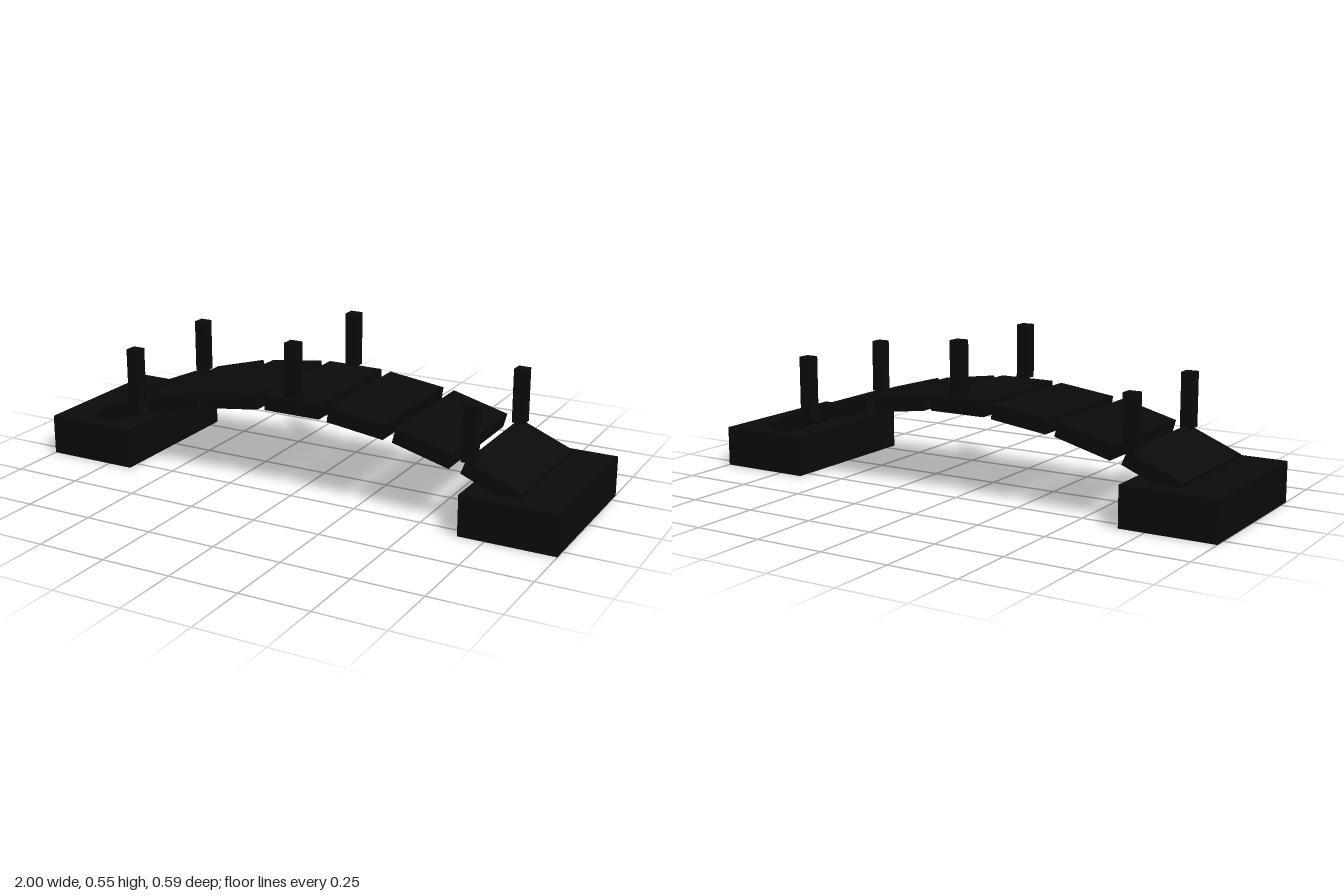
import * as THREE from 'three';

// Small arched footbridge: two abutments, seven tilted planks, six posts
export function createModel() {
  const bridge = new THREE.Group();
  bridge.name = 'archedBridge';
  const material = new THREE.MeshStandardMaterial({ color: 0x0a0a0a });

  function addBox(name, size, position, tilt = 0) {
    const mesh = new THREE.Mesh(new THREE.BoxGeometry(...size), material);
    mesh.name = name;
    mesh.position.set(...position);
    mesh.rotation.z = tilt;
    bridge.add(mesh);
  }

  // Abutments at both ends
  for (const side of [-1, 1]) {
    addBox('abutment', [0.345, 0.146, 0.594], [side * 0.8275, 0.073, 0]);
  }

  // Deck planks following the arch, each tilted a little more than the last
  const plankHeights = [0.322, 0.304, 0.258, 0.18];
  for (let i = -3; i <= 3; i++) {
    const tilt = -THREE.MathUtils.degToRad(7.5 * i);
    addBox('deckPlank', [0.215, 0.053, 0.478], [i * 0.248, plankHeights[Math.abs(i)], 0], tilt);
  }

  // Square posts along both edges, at the ends and the crown
  for (const z of [-0.224, 0.224]) {
    for (const [x, bottom] of [[-0.662, 0.24], [0, 0.355], [0.662, 0.24]]) {
      addBox('railPost', [0.046, 0.197, 0.046], [x, bottom + 0.0985, z]);
    }
  }

  return bridge;
}
